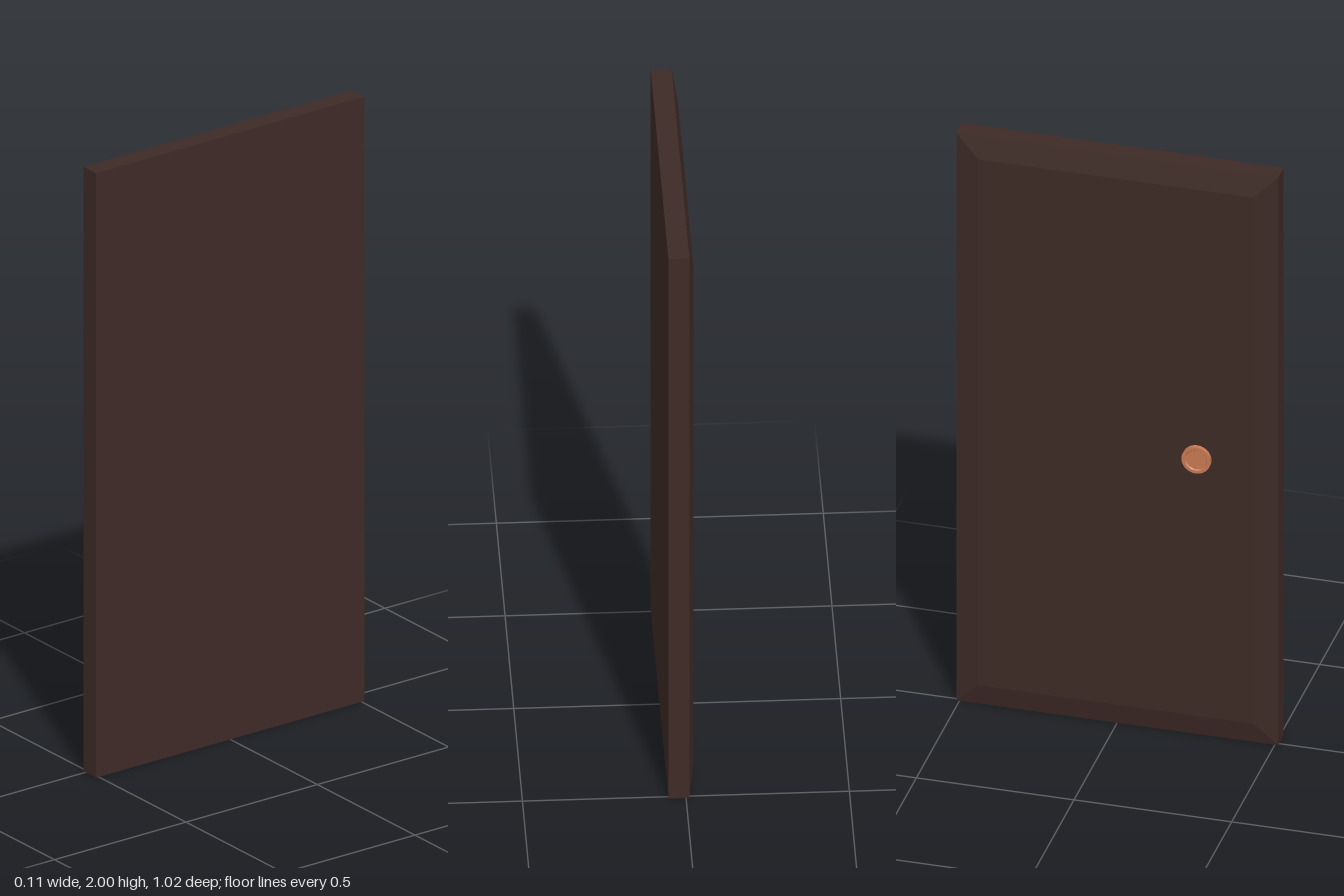
import * as THREE from 'three';
import { toCreasedNormals } from 'three/addons/utils/BufferGeometryUtils.js';

const HEIGHT = 2, WIDTH = 1.02;
const BACK = 0.054, SHOULDER = -0.01, FACE = -0.026; // x of back, bevel start and raised face
const INSET = 0.073; // bevel width on every edge
const KNOB_Y = 0.99, KNOB_Z = 0.262;

// Slab whose -x face is drawn in to leave a shallow bevel all round
function panelGeometry() {
  const g = new THREE.BoxGeometry(2, HEIGHT, WIDTH, 2, 1, 1);
  const p = g.attributes.position;
  for (let i = 0; i < p.count; i++) {
    const layer = Math.round(p.getX(i));
    p.setX(i, [FACE, SHOULDER, BACK][layer + 1]);
    if (layer === -1) {
      p.setY(i, p.getY(i) - Math.sign(p.getY(i)) * INSET);
      p.setZ(i, p.getZ(i) - Math.sign(p.getZ(i)) * INSET);
    }
  }
  return toCreasedNormals(g, 0.1);
}

// Turned part, revolved from [radius, height] pairs
function turned(points, segments = 32) {
  const g = new THREE.LatheGeometry(points.map(([r, h]) => new THREE.Vector2(r, h)), segments);
  return toCreasedNormals(g, 0.6);
}

export function createModel() {
  const model = new THREE.Group();
  model.name = 'door';
  const wood = new THREE.MeshStandardMaterial({ color: 0x3e2a26 });
  const copper = new THREE.MeshStandardMaterial({ color: 0xc87a54 });

  const panel = new THREE.Mesh(panelGeometry(), wood);
  panel.name = 'doorPanel';
  panel.position.y = HEIGHT / 2;
  model.add(panel);

  // Knob, with its axis pointing out along -x
  const knob = new THREE.Group();
  knob.name = 'knob';
  knob.position.set(FACE, KNOB_Y, KNOB_Z);
  knob.rotation.z = Math.PI / 2;

  const collar = new THREE.Mesh(turned([[0, 0], [0.035, 0], [0.035, 0.016], [0, 0.016]]), copper);
  collar.name = 'knobCollar';

  // Flat disc with a shallow dished front
  const disc = new THREE.Mesh(
    turned([[0, 0.015], [0.046, 0.015], [0.046, 0.029], [0.036, 0.029], [0.033, 0.025], [0, 0.025]]), copper);
  disc.name = 'knobDisc';

  knob.add(collar, disc);
  model.add(knob);
  return model;
}
